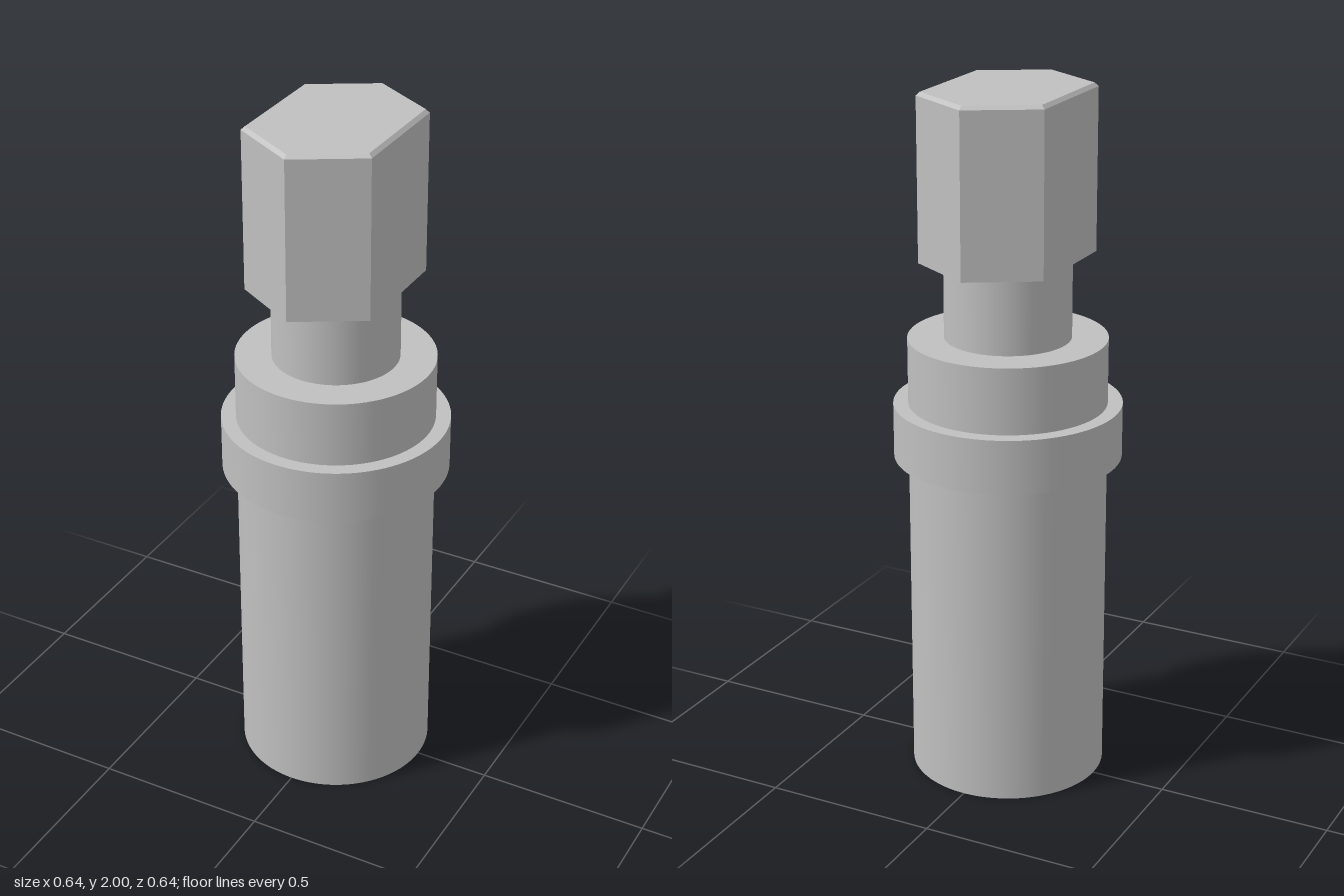
import * as THREE from 'three';
import { ConvexGeometry } from 'three/addons/geometries/ConvexGeometry.js';

export function createModel() {
  const model = new THREE.Group();
  const steel = new THREE.MeshStandardMaterial({ color: 0xc0c0c0 });
  steel.name = 'steel grey';

  const add = (name, geometry) => {
    const mesh = new THREE.Mesh(geometry, steel);
    mesh.name = name;
    model.add(mesh);
  };

  // Round part between two heights
  const round = (name, radius, y0, y1) => {
    const geometry = new THREE.CylinderGeometry(radius, radius, y1 - y0, 96);
    add(name, geometry.translate(0, (y0 + y1) / 2, 0));
  };
  round('body', 0.28, 0, 1.303);
  round('collar', 0.322, 0.957, 1.113);
  round('neck', 0.178, 1.303, 1.53);

  // Elongated six-sided head, narrowed at the top by a small chamfer
  const hexRing = (halfWidth, corner, tip, y) => [
    [0, tip], [halfWidth, corner], [halfWidth, -corner],
    [0, -tip], [-halfWidth, -corner], [-halfWidth, corner],
  ].map(([x, z]) => new THREE.Vector3(x, y, z));

  add('hexHead', new ConvexGeometry([
    ...hexRing(0.19, 0.165, 0.275, 1.53),
    ...hexRing(0.19, 0.165, 0.275, 1.99),
    ...hexRing(0.18, 0.16, 0.264, 2),
  ]));

  return model;
}
